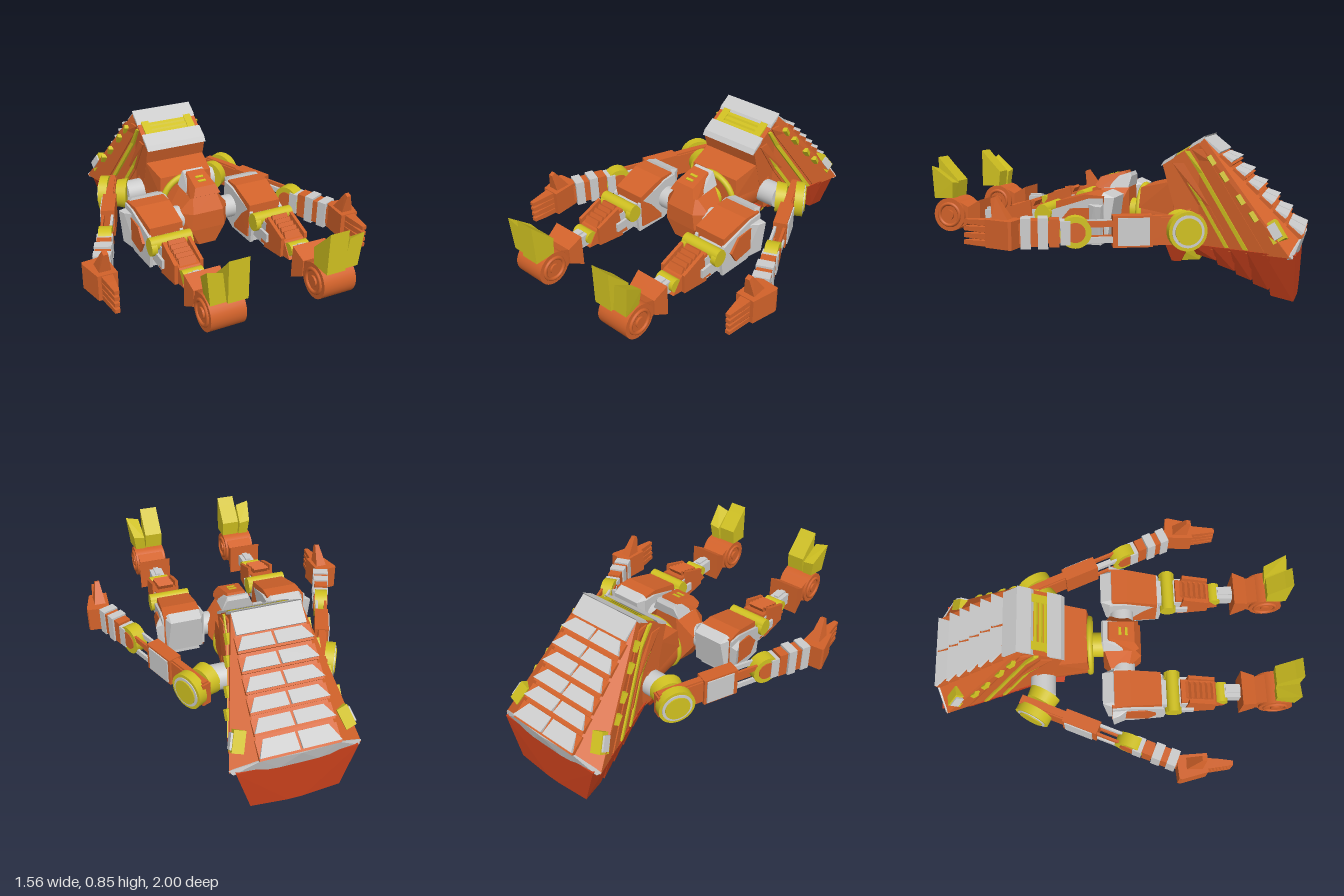
import * as THREE from 'three';
import { ConvexGeometry } from 'three/addons/geometries/ConvexGeometry.js';

const paint = (color) => new THREE.MeshStandardMaterial({ color });
const ORANGE = paint(0xd2622a), YELLOW = paint(0xcfc020), RED = paint(0xc8401c), GREY = paint(0xcccccc);

function add(g, name, geo, mat, pos = [0, 0, 0], rot = [0, 0, 0]) {
  const m = new THREE.Mesh(geo, mat);
  m.name = name;
  m.position.set(...pos);
  m.rotation.set(...rot);
  g.add(m);
  return m;
}
const box = (g, name, mat, size, pos, rot) => add(g, name, new THREE.BoxGeometry(...size), mat, pos, rot);
const hull = (g, name, mat, pts) => add(g, name, new ConvexGeometry(pts.map((p) => new THREE.Vector3(...p))), mat);
// Points given for +x only, repeated on -x
const both = (pts) => pts.flatMap(([x, y, z]) => [[x, y, z], [-x, y, z]]);
// Cylinder lying along x or z
function drum(g, name, mat, r, len, pos, axis = 'x', r2 = r) {
  const geo = new THREE.CylinderGeometry(r, r2, len, 32);
  if (axis === 'x') geo.rotateZ(-Math.PI / 2); else geo.rotateX(Math.PI / 2);
  return add(g, name, geo, mat, pos);
}
// Side profile of [z, y] points, extruded from x0 to x1
function prism(g, name, mat, profile, x0, x1) {
  const shape = new THREE.Shape(profile.map(([z, y]) => new THREE.Vector2(-z, y)));
  const geo = new THREE.ExtrudeGeometry(shape, { depth: x1 - x0, bevelEnabled: false });
  geo.rotateY(Math.PI / 2).translate(x0, 0, 0);
  return add(g, name, geo, mat);
}
// x of the torso side: straight in front, flaring towards the back
const sideX = (z) => 0.18 + 0.33 * Math.max(0, -0.45 - z);
const sidePlate = (g, name, mat, zy, t = 0.012) =>
  hull(g, name, mat, zy.flatMap(([z, y]) => [[sideX(z) - 0.02, y, z], [sideX(z) + t, y, z]]));

function makeTorso() {
  const g = new THREE.Group();
  g.name = 'torso';
  hull(g, 'torsoFront', ORANGE, both([[0.18, 0.83, -0.47], [0.18, 0.69, -0.255], [0.18, 0.58, -0.3],
    [0.18, 0.25, -0.38], [0.18, 0.25, -0.47]]));
  hull(g, 'torsoRear', ORANGE, both([[0.18, 0.83, -0.475], [0.18, 0.8, -0.45], [0.18, 0.25, -0.45],
    [0.2, 0.335, -0.975], [sideX(-0.94), 0.26, -0.94]]));

  // Brow: grey bars with a recessed yellow grille between
  const brow = (z, d = 0) => [z - 0.53 * d, 0.70 + (-0.25 - z) * 0.62 + 0.85 * d];
  const bar = (name, mat, a, b, d, x0, x1) =>
    prism(g, name, mat, [brow(a, -0.03), brow(b, -0.03), brow(b, d), brow(a, d)], x0, x1);
  bar('lowerBrowBar', GREY, -0.26, -0.33, 0.003, -0.181, 0.181);
  bar('upperBrowBar', GREY, -0.41, -0.48, 0.003, -0.181, 0.181);
  bar('browRecess', YELLOW, -0.33, -0.41, -0.02, -0.16, 0.16);
  for (const z of [-0.345, -0.37, -0.395]) bar('grilleBar', YELLOW, z + 0.007, z - 0.007, -0.005, -0.11, 0.11);
  for (const x of [-0.155, 0.11]) bar('grilleCheek', YELLOW, -0.33, -0.41, 0, x, x + 0.045);

  // Louvres down the back slope, split by a central rib
  const slope = (t, d = 0) => [-0.475 - 0.505 * t - 0.7 * d, 0.835 - 0.5 * t + 0.71 * d];
  prism(g, 'crownPlate', GREY, [slope(0, -0.04), slope(0), slope(0.16, 0.012), slope(0.16, -0.04)], -0.18, 0.18);
  for (let i = 0; i < 6; i++) {
    const a = 0.175 + 0.138 * i, b = a + (i === 5 ? 0.12 : 0.095), w = 0.19 + 0.02 * a;
    prism(g, 'louvreBeam', ORANGE, [slope(a, -0.02), slope(a, 0.002), slope(b + 0.018, 0.016), slope(b + 0.018, -0.02)], -w, w);
    for (const s of [-1, 1]) {
      const P = (x, [z, y]) => [s * x, y, z];
      hull(g, 'louvre', GREY, [P(0.007, slope(a, 0.004)), P(w - 0.04, slope(a, 0.004)), P(0.007, slope(b, 0.032)),
        P(w, slope(b, 0.032)), P(0.007, slope(b, 0)), P(w, slope(b, 0))]);
    }
  }
  // Tail rim and stepped red plates below
  hull(g, 'tailRim', GREY, both([[0.2, 0.34, -0.985], [0.2, 0.33, -0.955], [0.343, 0.27, -0.935], [0.335, 0.252, -0.925],
    [0.325, 0.252, -0.95], [0, 0.345, -1], [0.1, 0.252, -0.97]]));
  const steps = [[-0.965, -0.84, 0.0], [-0.84, -0.75, 0.055], [-0.75, -0.66, 0.095], [-0.66, -0.56, 0.135], [-0.56, -0.44, 0.18]];
  for (const [z0, z1, y] of steps) {
    const t0 = Math.min(0.315, sideX(z0)), t1 = Math.min(0.305, sideX(z1));
    const k = 1 - 0.95 * (0.26 - y);
    hull(g, 'bellyPlate', RED, both([[0.04, y, z0 + 0.005], [t0 * k, y + 0.015, z0 + 0.01], [t0, 0.27, z0],
      [0.04, y + 0.026, z1], [t1 * k, y + 0.036, z1], [t1, 0.27, z1 + 0.03]]));
  }

  // Abdomen, collar ring and underside pads
  drum(g, 'abdomen', ORANGE, 0.155, 0.3, [0, 0.405, -0.26], 'z', 0.19);
  hull(g, 'abdomenCover', ORANGE, both([[0.155, 0.56, -0.13], [0.18, 0.6, -0.3], [0.16, 0.45, -0.12], [0.18, 0.42, -0.32]]));
  add(g, 'waistRing', new THREE.TorusGeometry(0.15, 0.018, 10, 40), YELLOW, [0, 0.405, -0.115]);
  drum(g, 'waistJoint', YELLOW, 0.07, 0.12, [0, 0.41, -0.08], 'z');
  hull(g, 'bellyPad', YELLOW, both([[0.12, 0.165, -0.33], [0.13, 0.18, -0.45], [0.14, 0.25, -0.3], [0.14, 0.25, -0.47]]));
  hull(g, 'undersidePad', RED, both([[0.05, 0.19, -0.285], [0.14, 0.165, -0.3], [0.14, 0.165, -0.35], [0.05, 0.18, -0.35],
    [0.05, 0.27, -0.25], [0.17, 0.26, -0.27], [0.17, 0.26, -0.4]]));
  return g;
}

// Trim of one torso side
function makeSideTrim() {
  const g = new THREE.Group();
  g.name = 'torsoSideTrim';
  const stripe = (name, mat, [za, ya], [zb, yb], w, t) => {
    // Split at the crease of the torso side so the strip follows it
    const k = (-0.45 - za) / (zb - za), zc = -0.45, yc = ya + k * (yb - ya);
    for (const [p, q] of [[[za, ya], [zc, yc]], [[zc, yc], [zb, yb]]])
      sidePlate(g, name, mat, [p, [p[0] - w, p[1]], q, [q[0] - w, q[1]]], t);
  };
  stripe('longStripe', YELLOW, [-0.375, 0.765], [-0.7, 0.275], 0.025, 0.012);
  stripe('rearPanel', ORANGE, [-0.41, 0.775], [-0.75, 0.275], 0.06, 0.007);
  stripe('shortStripe', YELLOW, [-0.39, 0.6], [-0.6, 0.275], 0.022, 0.012);
  stripe('frontPanel', ORANGE, [-0.31, 0.7], [-0.53, 0.36], 0.06, 0.006);
  for (const [z, y] of [[-0.52, 0.72], [-0.59, 0.64], [-0.68, 0.53], [-0.75, 0.45]])
    box(g, 'sideLug', YELLOW, [0.03, 0.055, 0.025], [sideX(z) + 0.005, y, z], [0.6, 0.32, 0]);
  box(g, 'lampHousing', YELLOW, [0.06, 0.11, 0.07], [0.275, 0.375, -0.86], [0.6, 0, 0.3]);
  box(g, 'lamp', GREY, [0.05, 0.08, 0.045], [0.29, 0.38, -0.862], [0.6, 0, 0.3]);
  return g;
}

function makeArm() {
  const g = new THREE.Group();
  g.name = 'arm';
  // Shoulder: disc outside the arm, collar and hub inside
  const sh = new THREE.Group();
  sh.name = 'shoulder';
  sh.position.set(0.345, 0.38, -0.41);
  sh.rotation.y = 0.5;
  drum(sh, 'shoulderCollar', YELLOW, 0.08, 0.06, [-0.055, 0, 0], 'x', 0.09);
  drum(sh, 'shoulderRim', YELLOW, 0.1, 0.05, [0.05, 0, 0]);
  drum(sh, 'shoulderDisc', GREY, 0.083, 0.015, [0.072, 0, 0]);
  drum(sh, 'shoulderCap', YELLOW, 0.068, 0.018, [0.076, 0, 0]);
  g.add(sh);
  drum(g, 'shoulderHub', GREY, 0.07, 0.12, [0.22, 0.38, -0.38]);
  // Upper arm, elbow and forearm run along a slanted axis
  const a = new THREE.Group();
  a.name = 'armAxis';
  a.position.set(0.345, 0.38, -0.43);
  a.rotation.y = 0.4;
  box(a, 'upperArm', ORANGE, [0.05, 0.13, 0.31], [0, 0, 0.08]);
  box(a, 'upperArmRidge', ORANGE, [0.035, 0.15, 0.25], [0, 0, 0.06]);
  box(a, 'upperArmBlock', ORANGE, [0.075, 0.16, 0.2], [0, 0, 0.285]);
  box(a, 'upperArmSleeve', GREY, [0.04, 0.14, 0.16], [0.024, 0, 0.28]);
  for (const x of [-0.025, 0.025]) for (const y of [-0.04, 0.04])
    box(a, 'elbowStrut', x * y > 0 ? ORANGE : GREY, [0.014, 0.03, 0.18], [x, y, 0.45]);
  drum(a, 'elbow', YELLOW, 0.08, 0.07, [0, 0, 0.57]);
  drum(a, 'elbowCap', ORANGE, 0.05, 0.08, [0, 0, 0.57]);
  const bands = [[0.62, 0.085, 0.12, GREY], [0.675, 0.075, 0.14, ORANGE], [0.73, 0.09, 0.155, GREY],
    [0.775, 0.08, 0.13, ORANGE], [0.815, 0.09, 0.15, GREY]];
  for (const [s, w, h, m] of bands) box(a, 'forearmBand', m, [w, h, 0.05], [0, 0, s]);
  box(a, 'forearmCore', ORANGE, [0.06, 0.1, 0.28], [0, 0, 0.73]);
  g.add(a);
  // Hand with thumb pointing up and four fingers forward
  hull(g, 'palm', ORANGE, [0.31, 0.45].flatMap((y) => [[0.66, y, 0.335], [0.775, y, 0.345], [0.78, y, 0.36],
    [0.65, y, 0.36], [0.643, y, 0.5], [0.745, y, 0.5]]));
  hull(g, 'thumb', ORANGE, [[0.665, 0.44, 0.38], [0.73, 0.44, 0.38], [0.665, 0.44, 0.47], [0.73, 0.44, 0.47],
    [0.68, 0.56, 0.46], [0.705, 0.56, 0.46], [0.68, 0.55, 0.485], [0.705, 0.55, 0.485]]);
  for (const y of [0.325, 0.36, 0.395, 0.43]) {
    hull(g, 'finger', ORANGE, [-0.015, 0.015].flatMap((d) => [[0.668, y + d, 0.49], [0.728, y + d, 0.49],
      [0.675, y + d, 0.56], [0.718, y + d, 0.56], [0.685, y + d * 0.7, 0.635], [0.71, y + d * 0.7, 0.635]]));
  }
  return g;
}

function makePelvis() {
  const g = new THREE.Group();
  g.name = 'pelvis';
  hull(g, 'pelvisShell', ORANGE, both([[0.07, 0.55, -0.04], [0.09, 0.26, -0.04], [0.16, 0.44, 0], [0.16, 0.37, 0],
    [0.15, 0.45, 0.1], [0.15, 0.36, 0.1], [0.07, 0.55, 0.12], [0.09, 0.46, 0.17], [0.1, 0.36, 0.17], [0.05, 0.26, 0.16], [0.1, 0.25, 0.08]]));
  // Belt plate
  hull(g, 'beltBase', GREY, both([[0.06, 0.61, -0.05], [0.06, 0.63, -0.04], [0.09, 0.55, -0.04], [0.06, 0.575, 0.13], [0.085, 0.54, 0.1]]));
  hull(g, 'beltPlate', ORANGE, both([[0.05, 0.61, -0.02], [0.05, 0.635, -0.01], [0.06, 0.6, 0.13], [0.08, 0.555, 0.155],
    [0.09, 0.54, 0.13], [0.08, 0.55, 0]]));
  for (const z of [0.05, 0.085]) box(g, 'beltSlot', YELLOW, [0.045, 0.012, 0.015], [0, 0.618 - (z - 0.05) * 0.25, z], [0.24, 0, 0]);
  return g;
}

function makeLeg() {
  const g = new THREE.Group();
  g.name = 'leg';
  drum(g, 'hipJoint', GREY, 0.065, 0.12, [0.18, 0.41, 0.07]);
  // Thigh, tapering to the knee
  hull(g, 'thigh', ORANGE, [[0, 0.54, 0.32], [0.1, 0.545, 0.29], [0.27, 0.5, 0.31]].flatMap(([z, y, b]) =>
    [[0.19, b, z], [0.412 - 0.07 * z, b, z], [0.2, y, z], [0.408 - 0.09 * z, y, z]]));
  hull(g, 'thighCrown', GREY, [[0.21, 0.53, -0.05], [0.38, 0.53, -0.05], [0.185, 0.53, 0.015], [0.405, 0.53, 0.015],
    [0.21, 0.555, 0.01], [0.38, 0.555, 0.01], [0.2, 0.33, -0.02], [0.4, 0.33, -0.02], [0.19, 0.33, 0.02], [0.4, 0.33, 0.02]]);
  for (const [x, r] of [[0.183, 0.06], [0.4, -0.07]]) {
    const rail = prism(g, 'thighRail', GREY, [[0, 0.53], [0.08, 0.525], [0.28, 0.46], [0.3, 0.4], [0.29, 0.28], [0.1, 0.28], [0, 0.33]], 0, 0.018);
    rail.position.x = x;
    rail.rotation.y = r;
  }
  box(g, 'thighUnderside', GREY, [0.18, 0.03, 0.26], [0.3, 0.295, 0.15]);
  prism(g, 'thighSidePanel', ORANGE, [[0.05, 0.48], [0.18, 0.47], [0.24, 0.4], [0.2, 0.33], [0.06, 0.34]], 0.4, 0.416);
  hull(g, 'hipSpur', GREY, [[0.4, 0.5, 0], [0.4, 0.36, 0], [0.4, 0.5, 0.1], [0.4, 0.28, 0.1], [0.455, 0.49, 0], [0.44, 0.3, 0.01], [0.44, 0.49, 0.04]]);
  // Knee
  drum(g, 'knee', YELLOW, 0.035, 0.23, [0.3, 0.45, 0.335]);
  for (const x of [0.2, 0.4]) drum(g, 'kneeCap', YELLOW, 0.045, 0.03, [x, 0.43, 0.335]);
  box(g, 'kneeBlock', GREY, [0.14, 0.14, 0.16], [0.3, 0.38, 0.34]);
  // Shin with ribs
  hull(g, 'shin', ORANGE, [[0.235, 0.47, 0.38], [0.365, 0.47, 0.38], [0.24, 0.43, 0.57], [0.355, 0.43, 0.57],
    [0.225, 0.32, 0.36], [0.375, 0.32, 0.36], [0.24, 0.35, 0.63], [0.355, 0.35, 0.63]]);
  for (const x of [0.222, 0.36]) prism(g, 'shinRail', ORANGE, [[0.42, 0.5], [0.57, 0.45], [0.57, 0.34], [0.4, 0.31]], x, x + 0.018);
  for (let i = 0; i < 5; i++)
    box(g, 'shinRib', ORANGE, [0.09, 0.045, 0.017], [0.3, 0.475 - 0.008 * i, 0.42 + 0.031 * i], [-0.5, 0, 0]);
  for (const x of [0.212, 0.388]) box(g, 'shinStrut', GREY, [0.014, 0.05, 0.14], [x, 0.39, 0.38]);
  drum(g, 'ankleRoll', YELLOW, 0.035, 0.11, [0.3, 0.4, 0.605]);
  // Ankle and foot
  box(g, 'ankleRod', GREY, [0.075, 0.07, 0.12], [0.295, 0.395, 0.68]);
  box(g, 'ankleSpine', GREY, [0.03, 0.09, 0.08], [0.295, 0.395, 0.67]);
  const flare = (name, z0, z1, w0, w1, h0, h1) => hull(g, name, ORANGE, [[z0, w0, h0], [z1, w1, h1]].flatMap(([z, w, h]) =>
    [[0.297 - w, 0.4 - h, z], [0.297 + w, 0.4 - h, z], [0.297 - w, 0.4 + h, z], [0.297 + w, 0.4 + h, z]]));
  flare('ankleFlare', 0.71, 0.79, 0.095, 0.082, 0.09, 0.045);
  flare('heelFlare', 0.78, 0.86, 0.075, 0.08, 0.04, 0.08);
  drum(g, 'footDrum', ORANGE, 0.092, 0.18, [0.297, 0.4, 0.9]);
  for (const x of [0.207, 0.387]) {
    add(g, 'footRim', new THREE.TorusGeometry(0.06, 0.01, 8, 32), ORANGE, [x, 0.4, 0.9], [0, Math.PI / 2, 0]);
    drum(g, 'footHub', ORANGE, 0.028, 0.02, [x, 0.4, 0.9]);
  }
  prism(g, 'innerToe', YELLOW, [[1, 0.49], [1, 0.71], [0.965, 0.67], [0.88, 0.58], [0.89, 0.49]], 0.207, 0.31);
  hull(g, 'outerToe', YELLOW, [[0.31, 0.49, 0.985], [0.39, 0.49, 0.985], [0.33, 0.65, 0.985], [0.408, 0.67, 0.985],
    [0.32, 0.57, 0.875], [0.385, 0.58, 0.875], [0.315, 0.49, 0.885], [0.375, 0.49, 0.885]]);
  return g;
}

export function createModel() {
  const model = new THREE.Group();
  model.name = 'robot';
  model.add(makeTorso(), makePelvis());
  // Paired parts: built for the left, mirrored for the right
  for (const [side, s] of [['left', 1], ['right', -1]]) {
    const half = new THREE.Group();
    half.name = side + 'Side';
    half.add(makeSideTrim(), makeArm(), makeLeg());
    half.scale.x = s;
    model.add(half);
  }
  return model;
}
